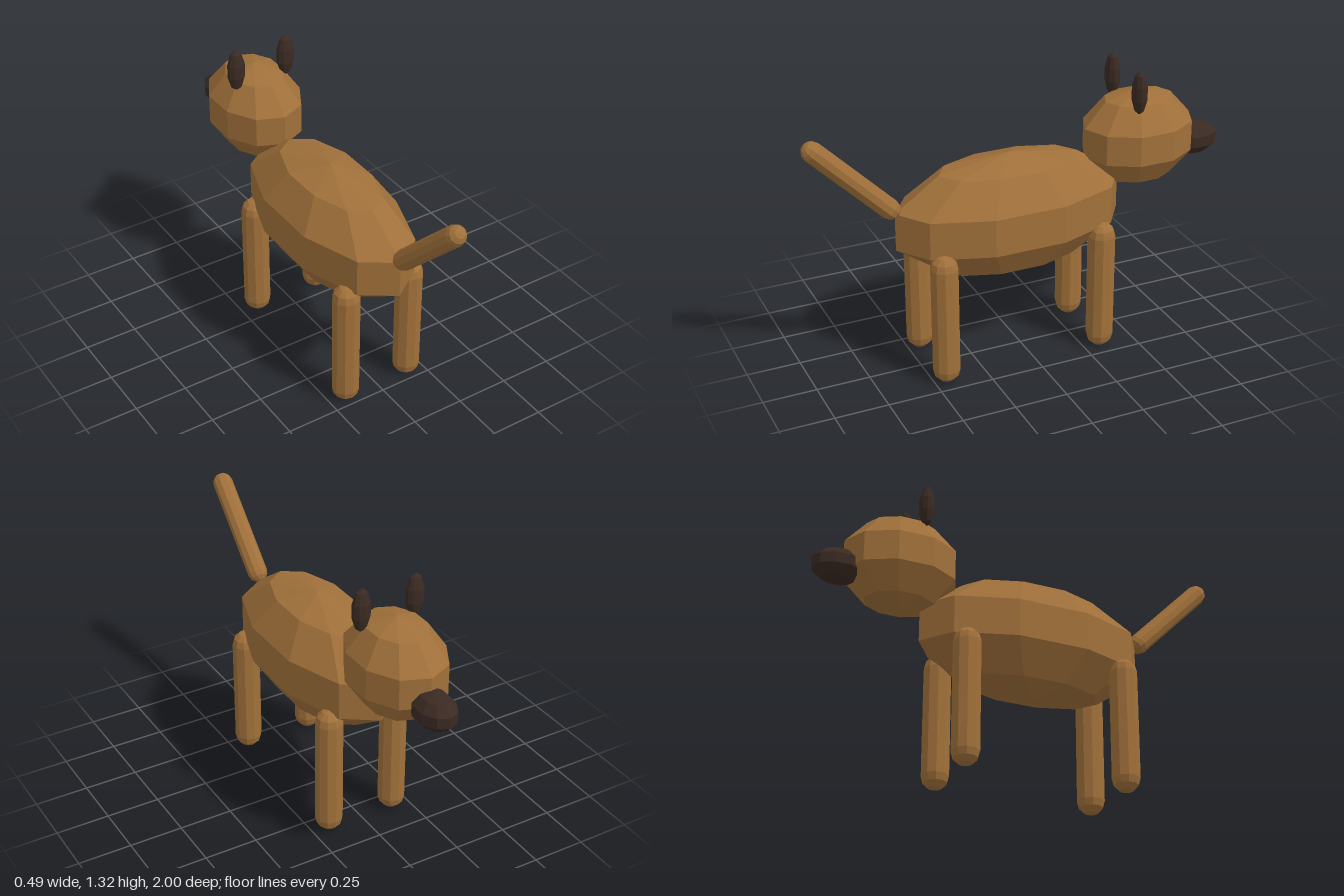
import * as THREE from 'three';

export function createModel() {
  const model = new THREE.Group();
  model.name = 'dog';
  const fur = new THREE.MeshStandardMaterial({ name: 'brown fur', color: 0xa0703a, flatShading: true });
  const dark = new THREE.MeshStandardMaterial({ name: 'dark brown', color: 0x3a2a22, flatShading: true });

  function add(name, geometry, material, x, y, z) {
    const mesh = new THREE.Mesh(geometry, material);
    mesh.name = name;
    mesh.position.set(x, y, z);
    model.add(mesh);
    return mesh;
  }

  // Faceted ellipsoid, ten sides with a corner on the z axis
  function blob(rx, ry, rz) {
    return new THREE.SphereGeometry(1, 10, 5).rotateY(Math.PI / 2).scale(rx, ry, rz);
  }

  // Faceted round-ended limb, centred on its length
  function limb(radius, length) {
    return new THREE.CapsuleGeometry(radius, length, 3, 10).rotateY(Math.PI / 2);
  }

  // Trunk, head and muzzle
  add('body', blob(0.269, 0.287, 0.573), fur, 0, 0.708, 0.055);
  add('head', blob(0.216, 0.229, 0.281), fur, 0, 0.963, -0.588);
  add('muzzle', blob(0.092, 0.08, 0.126), dark, 0, 0.9, -0.88);

  // Ears and legs, mirrored; the head end points to -z
  for (const [side, s] of [['left', 1], ['right', -1]]) {
    add(side + 'Ear', blob(0.044, 0.103, 0.035), dark, s * 0.13, 1.223, -0.522);
    add(side + 'HeadEndLeg', limb(0.064, 0.508), fur, s * 0.166, 0.322, -0.33);
    add(side + 'TailEndLeg', limb(0.064, 0.508), fur, s * 0.166, 0.322, 0.44);
  }

  // Raised tail
  const tail = add('tail', limb(0.047, 0.472), fur, 0, 0.993, 0.787);
  tail.rotation.x = Math.PI / 4;

  return model;
}
